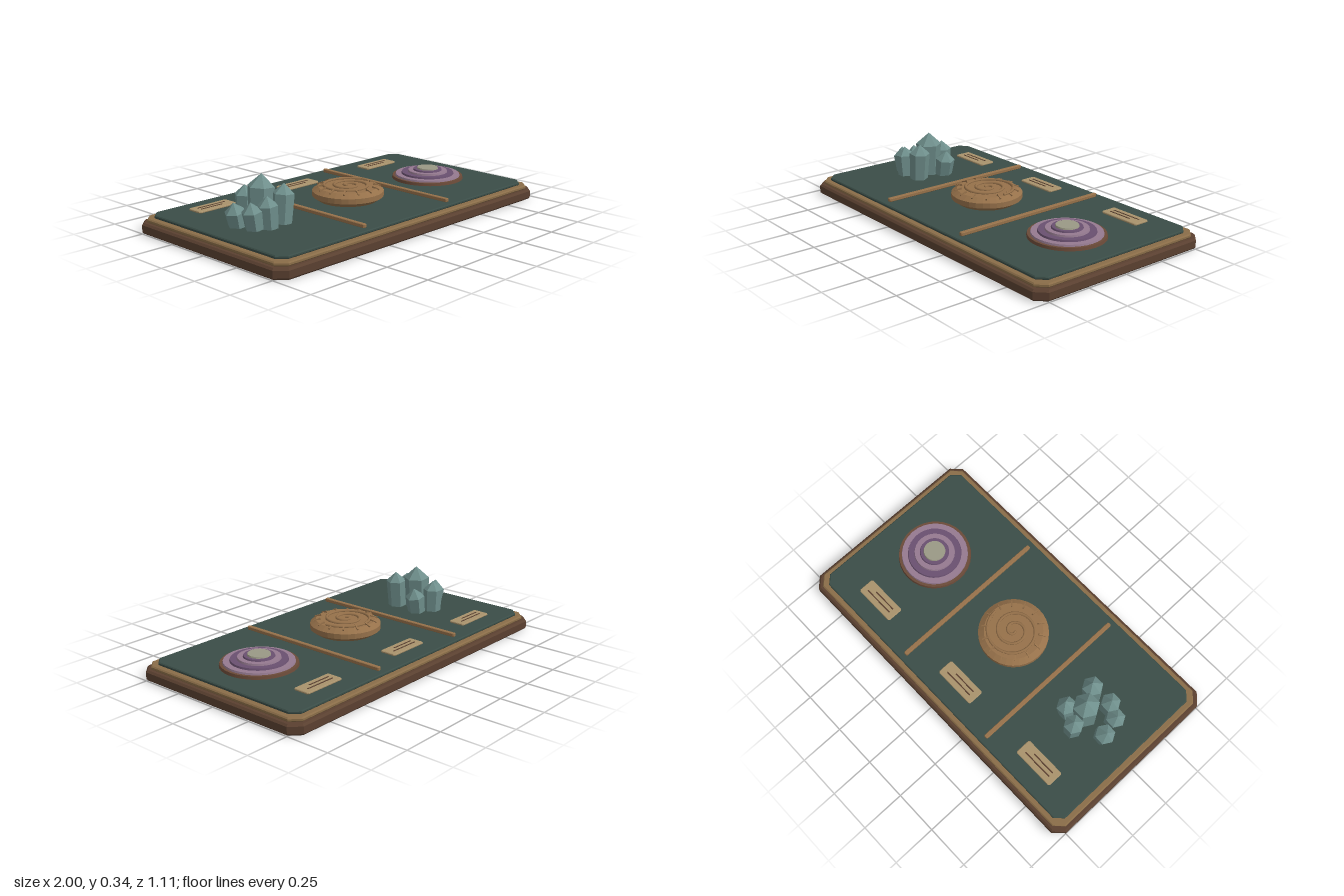
import * as THREE from 'three';

const mat = (name, color) => {
  const m = new THREE.MeshStandardMaterial({ color });
  m.name = name;
  return m;
};

export function createModel() {
  const M = {
    wood: mat('dark wood', 0x5a4030),
    trim: mat('light wood trim', 0x8a6d48),
    felt: mat('green felt', 0x3a4d47),
    crystal: mat('blue green crystal', 0x6f8f8c),
    fossil: mat('fossil tan', 0x96714a),
    rind: mat('stone rind', 0x6b4a38),
    mauve: mat('mauve band', 0x957a90),
    purple: mat('purple band', 0x6a5070),
    core: mat('pale core', 0x9a9885),
    card: mat('label card', 0xa8926c),
  };
  const model = new THREE.Group();
  model.name = 'mineralDisplayBoard';

  const add = (name, geometry, material, x = 0, y = 0, z = 0, parent = model) => {
    const mesh = new THREE.Mesh(geometry, material);
    mesh.name = name;
    mesh.position.set(x, y, z);
    parent.add(mesh);
    return mesh;
  };
  const group = (name, x, y, z) => {
    const g = new THREE.Group();
    g.name = name;
    g.position.set(x, y, z);
    model.add(g);
    return g;
  };
  const faceted = (g) => {
    const flat = g.index ? g.toNonIndexed() : g;
    flat.computeVertexNormals();
    return flat;
  };

  // Bevelled slab with cut corners, resting on y = 0
  const slab = (hx, hz, cut, height, bevel) => {
    const shape = new THREE.Shape([
      [-hx + cut, -hz], [hx - cut, -hz], [hx, -hz + cut], [hx, hz - cut],
      [hx - cut, hz], [-hx + cut, hz], [-hx, hz - cut], [-hx, -hz + cut],
    ].map(([x, y]) => new THREE.Vector2(x, y)));
    const g = new THREE.ExtrudeGeometry(shape, {
      depth: height - 2 * bevel, bevelEnabled: true, bevelSegments: 1,
      bevelSize: bevel, bevelThickness: bevel, bevelOffset: -bevel,
    });
    return g.rotateX(-Math.PI / 2).translate(0, bevel, 0);
  };

  // Stepped board
  add('baseBoard', slab(1, 0.555, 0.055, 0.058, 0.01), M.wood);
  add('trimBoard', slab(0.978, 0.534, 0.05, 0.022, 0.006), M.trim, 0, 0.058);
  add('feltPanel', slab(0.948, 0.505, 0.045, 0.018, 0.005), M.felt, 0, 0.08);
  const top = 0.098;

  // Dividers between the three bays
  for (const x of [-0.35, 0.295])
    add('divider', slab(0.012, 0.47, 0.005, 0.02, 0.003), M.fossil, x, top);

  // Label cards with two plain rules
  for (const x of [-0.645, -0.03, 0.63]) {
    const label = group('label', x, top, -0.358);
    add('card', slab(0.125, 0.048, 0.008, 0.011, 0.003), M.card, 0, 0, 0, label);
    add('longRule', new THREE.BoxGeometry(0.18, 0.003, 0.007), M.wood, 0, 0.0115, -0.013, label);
    add('shortRule', new THREE.BoxGeometry(0.14, 0.003, 0.007), M.wood, -0.02, 0.0115, 0.014, label);
  }

  // Crystal cluster: tip x, tip height, z, radius, sideways lean
  const cluster = group('crystalCluster', 0, top, 0);
  const crystals = [
    [-0.617, 0.345, 0.015 - 0.012, 0.073, -0.06],
    [-0.56, 0.304, 0.108, 0.058, -0.08],
    [-0.64, 0.272, -0.103, 0.055, 0.02],
    [-0.525, 0.243, -0.052, 0.056, -0.2],
    [-0.692, 0.265, 0.125, 0.054, 0.08],
    [-0.77, 0.24, 0.09, 0.054, 0.17],
    [-0.795, 0.225, -0.01, 0.056, 0.2],
  ];
  for (const [x, tip, z, r, lean] of crystals) {
    const h = (tip - top) / Math.cos(lean);
    const point = r * 0.9;
    const profile = [[0, 0], [r * 0.88, 0], [r, h - point], [0, h]]
      .map(([a, b]) => new THREE.Vector2(a, b));
    const g = faceted(new THREE.LatheGeometry(profile, 6).rotateY(Math.PI / 6));
    const c = add('crystal', g, M.crystal, x + Math.sin(lean) * h, 0, z, cluster);
    c.rotation.z = lean;
  }

  // Spiral fossil: bevelled disc, coil ridge and short ribs
  const fossil = group('spiralFossil', -0.03, top, 0.04);
  const disc = [[0, 0], [0.16, 0], [0.195, 0.024], [0.195, 0.052], [0.163, 0.074], [0, 0.076]]
    .map(([a, b]) => new THREE.Vector2(a, b));
  add('fossilDisc', faceted(new THREE.LatheGeometry(disc, 32)), M.fossil, 0, 0, 0, fossil);
  const coil = [];
  for (let i = 0; i <= 60; i++) {
    const t = (i / 60) * Math.PI * 2 * 2.5 + Math.PI;
    const r = 0.012 + 0.14 * (i / 60);
    coil.push(new THREE.Vector3(r * Math.cos(t), 0.077, r * Math.sin(t)));
  }
  add('coilRidge', new THREE.TubeGeometry(new THREE.CatmullRomCurve3(coil), 120, 0.0085, 6),
    M.fossil, 0, 0, 0, fossil);
  for (const p of [coil[0], coil[60]])
    add('coilEnd', new THREE.SphereGeometry(0.0085, 8, 6), M.fossil, p.x, p.y, p.z, fossil);
  for (let i = 0; i < 14; i++) {
    const rib = new THREE.BoxGeometry(0.04, 0.012, 0.008);
    rib.rotateZ(-0.35).translate(0.158, 0.074, 0).rotateY((i / 14) * Math.PI * 2 + 0.2);
    add('rib', rib, M.fossil, 0, 0, 0, fossil);
  }

  // Banded stone: stacked discs, each radius, top height and colour
  const stone = group('bandedStone', 0.628, top, 0.05);
  const bands = [
    ['rind', 0.206, 0.016, M.rind], ['outerMauveBand', 0.188, 0.026, M.mauve],
    ['outerPurpleBand', 0.152, 0.036, M.purple], ['innerMauveBand', 0.115, 0.046, M.mauve],
    ['innerPurpleBand', 0.083, 0.054, M.purple], ['paleCore', 0.062, 0.062, M.core],
  ];
  let floor = 0;
  for (const [name, r, h, m] of bands) {
    add(name, new THREE.CylinderGeometry(r - 0.003, r, h - floor, 32), m, 0, (h + floor) / 2, 0, stone);
    floor = h;
  }
  return model;
}
